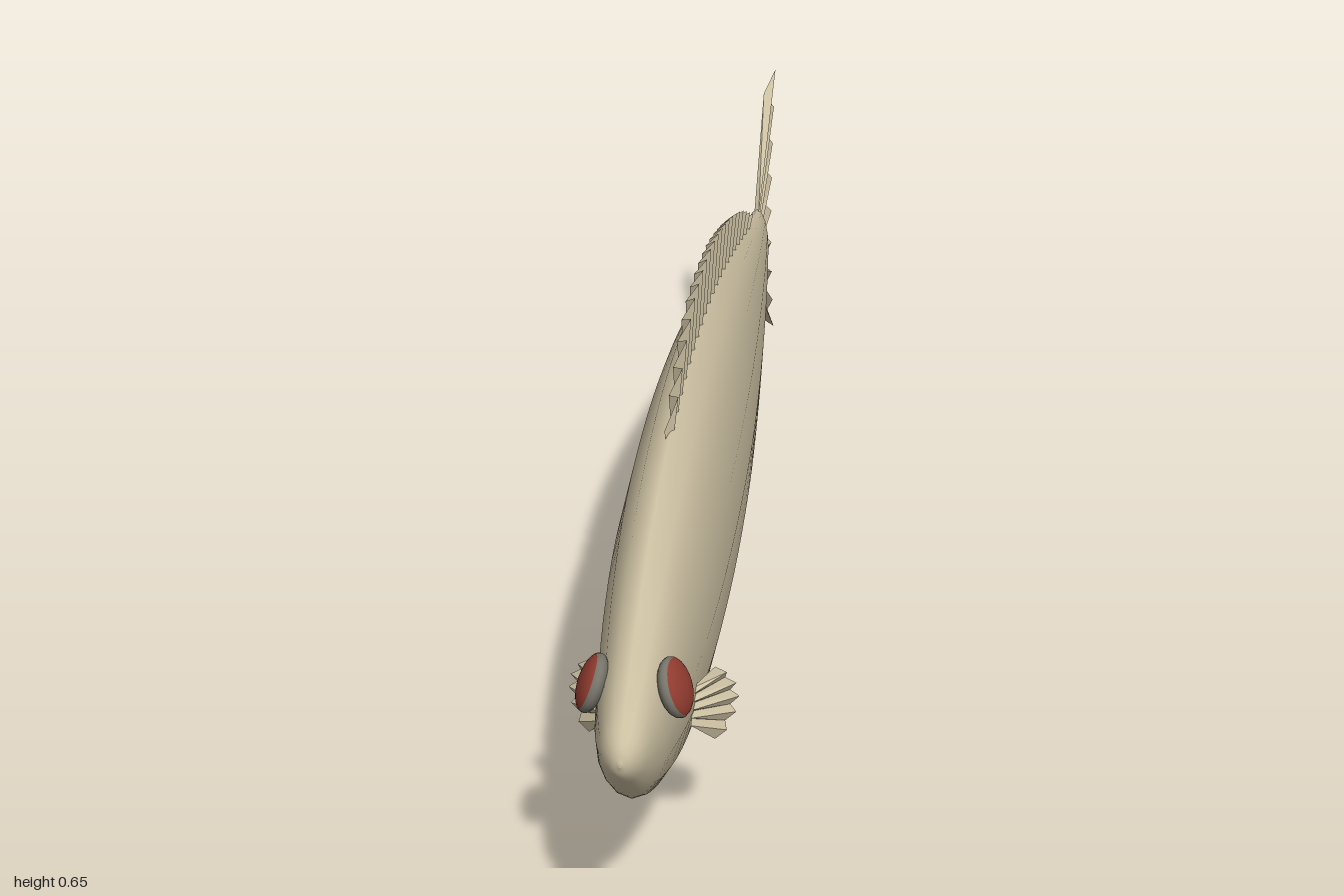
import * as THREE from 'three';

const skin = new THREE.MeshStandardMaterial({ color: 0xccc0a2 });
skin.name = 'skin';
const finSkin = new THREE.MeshStandardMaterial({ color: 0xccc0a2, side: THREE.DoubleSide, flatShading: true });
finSkin.name = 'fin skin';
const eyeRed = new THREE.MeshStandardMaterial({ color: 0x923c30 });
eyeRed.name = 'eye red';
const eyeRim = new THREE.MeshStandardMaterial({ color: 0x77746a });
eyeRim.name = 'eye rim';

// Body stations from nose to tail: z, top y, bottom y, half width
const stations = [
  [0.996, 0.318, 0.312, 0.002], [0.988, 0.338, 0.293, 0.016], [0.965, 0.36, 0.268, 0.031],
  [0.92, 0.386, 0.226, 0.043], [0.85, 0.42, 0.183, 0.054], [0.7, 0.483, 0.127, 0.068],
  [0.5, 0.532, 0.096, 0.078], [0.25, 0.555, 0.085, 0.079], [0, 0.545, 0.098, 0.073],
  [-0.2, 0.518, 0.119, 0.063], [-0.4, 0.478, 0.152, 0.05], [-0.6, 0.43, 0.2, 0.035],
  [-0.775, 0.394, 0.253, 0.02],
];

function sample(table, z, column) {
  let i = 0;
  while (i < table.length - 2 && table[i + 1][0] > z) i++;
  const [a, b] = [table[i], table[i + 1]];
  return THREE.MathUtils.mapLinear(z, a[0], b[0], a[column], b[column]);
}

function makeMesh(name, positions, index, material) {
  const g = new THREE.BufferGeometry();
  g.setAttribute('position', new THREE.Float32BufferAttribute(positions, 3));
  g.setIndex(index);
  g.computeVertexNormals();
  const mesh = new THREE.Mesh(g, material);
  mesh.name = name;
  return mesh;
}

// Elliptical loops along smoothed stations
function makeBody() {
  const sides = 16, rings = 48, pos = [], index = [];
  const spline = (f) => new THREE.CatmullRomCurve3(stations.map(f), false, 'catmullrom', 0.5);
  const heights = spline((s) => new THREE.Vector3(s[0], s[1], s[2]));
  const widths = spline((s) => new THREE.Vector3(s[0], s[3], 0));
  const ring = (z, top, bottom, w) => {
    for (let j = 0; j < sides; j++) {
      const t = (j / sides) * Math.PI * 2;
      pos.push(w * Math.sin(t), (top + bottom) / 2 + ((top - bottom) / 2) * Math.cos(t), z);
    }
  };
  for (let i = 0; i <= rings; i++) {
    const h = heights.getPoint(i / rings), w = widths.getPoint(i / rings);
    ring(h.x, h.y, h.z, w.y);
  }
  for (let i = 0; i < rings; i++) {
    for (let j = 0; j < sides; j++) {
      const k = (j + 1) % sides;
      const a = i * sides + j, c = i * sides + k;
      index.push(a, c, a + sides, c, c + sides, a + sides);
    }
  }
  // Flat caps with their own loops keep the tail edge crisp
  const [n, e] = [stations[0], stations[stations.length - 1]];
  const front = pos.length / 3;
  ring(...n);
  const back = front + sides;
  ring(...e);
  for (let j = 1; j < sides - 1; j++) {
    index.push(front, front + j + 1, front + j, back, back + j, back + j + 1);
  }
  return makeMesh('body', pos, index, skin);
}

// Strip of folded rays between matching root and tip points
function pleatedFin(name, roots, tips) {
  const pos = [], index = [];
  roots.forEach((r, i) => {
    pos.push(...r, ...tips[i]);
    if (i) index.push(2 * i - 2, 2 * i, 2 * i - 1, 2 * i, 2 * i + 1, 2 * i - 1);
  });
  return makeMesh(name, pos, index, finSkin);
}

// Long fin following the back or belly; outline rows are z, y
function edgeFin(name, outline, column, side, rootStart, rootEnd, teeth) {
  const roots = [], tips = [], n = teeth * 2;
  const first = outline[0][0], last = outline[outline.length - 1][0];
  for (let i = 0; i <= n; i++) {
    const fold = i % 2 ? 1 : -1;
    const rz = THREE.MathUtils.lerp(rootStart, rootEnd, i / n);
    const tz = THREE.MathUtils.lerp(first, last, i / n) - (fold > 0 ? 0.01 : 0);
    const notch = fold > 0 ? 0 : 0.013;
    roots.push([fold * 0.003, sample(stations, rz, column) - side * 0.012, rz]);
    tips.push([fold * 0.008, sample(outline, tz, 1) - side * notch, tz]);
  }
  return pleatedFin(name, roots, tips);
}

function makeTail() {
  const roots = [], tips = [], n = 16;
  for (let i = 0; i <= n; i++) {
    const u = (i / n) * 2 - 1, peak = i % 2 === 0;
    const fold = peak ? 1 : -1;
    roots.push([fold * 0.004, 0.323 + u * 0.064, -0.762]);
    tips.push([fold * 0.008, 0.322 + u * 0.242, -0.947 - 0.052 * u * u + (peak ? 0 : 0.028)]);
  }
  return pleatedFin('tailFin', roots, tips);
}

function makePectoral(side) {
  const roots = [], tips = [], n = 10;
  for (let i = 0; i <= n; i++) {
    const u = (i / n) * 2 - 1, peak = i % 2 === 1;
    const reach = (1 - 0.42 * u * u) * (peak ? 1 : 0.8);
    const fold = peak ? 0.005 : -0.005;
    roots.push([side * 0.06, 0.24 + u * 0.03, 0.695 + fold]);
    tips.push([side * (0.062 + 0.06 * reach), 0.233 + u * 0.058, 0.695 - 0.063 * reach + fold]);
  }
  return pleatedFin(side > 0 ? 'leftPectoralFin' : 'rightPectoralFin', roots, tips);
}

// Flattened domed eye: red centre with a narrow rim
function makeEye(side) {
  const eye = new THREE.Group();
  eye.name = side > 0 ? 'leftEye' : 'rightEye';
  const split = 1.2;
  const parts = [['iris', 0, split, eyeRed], ['eyeRim', split, Math.PI - split, eyeRim]];
  for (const [name, start, length, material] of parts) {
    const g = new THREE.SphereGeometry(0.043, 20, 10, 0, Math.PI * 2, start, length);
    g.scale(1, 0.44, 1);
    g.rotateZ(-side * (Math.PI / 2 - 0.36));
    g.rotateY(-side * 0.14);
    const mesh = new THREE.Mesh(g, material);
    mesh.name = name;
    eye.add(mesh);
  }
  eye.position.set(side * 0.057, 0.36, 0.852);
  return eye;
}

export function createModel() {
  const model = new THREE.Group();
  model.name = 'fish';
  const back = [[0.44, 0.56], [0.4, 0.588], [0.3, 0.628], [0.2, 0.65], [0.1, 0.651], [0, 0.643],
    [-0.1, 0.627], [-0.2, 0.603], [-0.3, 0.575], [-0.4, 0.543], [-0.5, 0.505], [-0.65, 0.437]];
  const belly = [[0.31, 0.078], [0.2, 0.03], [0.1, 0.003], [0, 0.008], [-0.1, 0.02], [-0.2, 0.038],
    [-0.3, 0.06], [-0.4, 0.092], [-0.5, 0.13], [-0.6, 0.178], [-0.65, 0.208]];
  model.add(
    makeBody(),
    edgeFin('dorsalFin', back, 1, 1, 0.45, -0.63, 21),
    edgeFin('bellyFin', belly, 2, -1, 0.32, -0.63, 19),
    makeTail(),
  );
  for (const side of [1, -1]) model.add(makePectoral(side), makeEye(side));
  return model;
}
